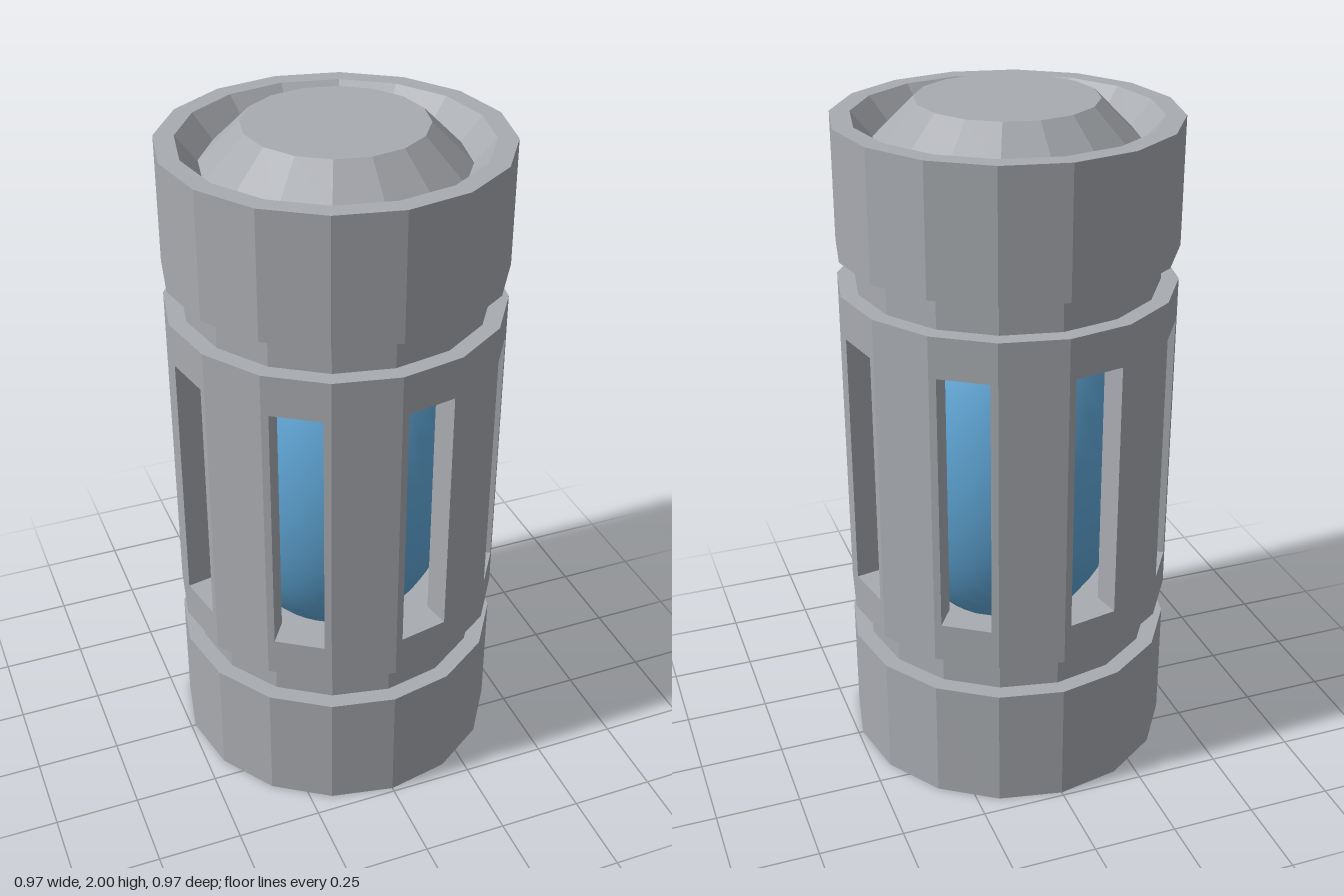
import * as THREE from 'three';

const SIDES = 16;
const RADIUS = 0.487;
const STEP = (Math.PI * 2) / SIDES;

// faceted body of revolution, sixteen flat sides
function facetedLathe(profile) {
  const points = profile.map(([r, y]) => new THREE.Vector2(r, y));
  const geo = new THREE.LatheGeometry(points, SIDES).toNonIndexed();
  geo.computeVertexNormals();
  return geo;
}

function rectangle(path, halfWidth, y0, y1) {
  path.moveTo(-halfWidth, y0);
  path.lineTo(halfWidth, y0);
  path.lineTo(halfWidth, y1);
  path.lineTo(-halfWidth, y1);
  path.closePath();
  return path;
}

// one wall panel of the casing, mitred to its neighbours, optionally with a slot
function wallPanel(hasSlot) {
  const apothem = RADIUS * Math.cos(STEP / 2);
  const half = RADIUS * Math.sin(STEP / 2);
  const thickness = 0.085;
  const shape = rectangle(new THREE.Shape(), half, 0.475, 1.485);
  if (hasSlot) shape.holes.push(rectangle(new THREE.Path(), 0.074, 0.592, 1.365));
  const geo = new THREE.ExtrudeGeometry(shape, { depth: thickness, bevelEnabled: false });
  geo.translate(0, 0, apothem - thickness);
  const pos = geo.attributes.position;
  for (let i = 0; i < pos.count; i++) {
    const x = pos.getX(i);
    if (Math.abs(x) > 0.08) pos.setX(i, (x * pos.getZ(i)) / apothem);
  }
  geo.computeVertexNormals();
  return geo;
}

export function createModel() {
  const model = new THREE.Group();
  const metal = new THREE.MeshStandardMaterial({ color: 0xa8abb0 });
  metal.name = 'grey metal';
  const glow = new THREE.MeshStandardMaterial({ color: 0x62aadb });
  glow.name = 'blue core';

  const add = (name, geo, material, parent = model) => {
    const mesh = new THREE.Mesh(geo, material);
    mesh.name = name;
    parent.add(mesh);
    return mesh;
  };

  // base collar with recessed underside and neck groove
  add('baseCollar', facetedLathe([
    [0, 0.07], [0.37, 0.07], [0.43, 0], [RADIUS, 0], [RADIUS, 0.37],
    [0.437, 0.37], [0.437, 0.475], [0, 0.475],
  ]), metal);

  // top collar with neck groove, sloped rim and raised cap
  add('topCollar', facetedLathe([
    [0, 1.485], [0.437, 1.485], [0.437, 1.585], [RADIUS, 1.585], [RADIUS, 1.955],
    [0.43, 1.955], [0.37, 1.885], [0.255, 2], [0, 2],
  ]), metal);

  // casing: slotted and plain panels alternate
  const casing = new THREE.Group();
  casing.name = 'casing';
  model.add(casing);
  const slotted = wallPanel(true);
  const plain = wallPanel(false);
  for (let i = 0; i < SIDES; i++) {
    const hasSlot = i % 2 === 0;
    const panel = add(hasSlot ? 'slottedPanel' : 'plainPanel', hasSlot ? slotted : plain, metal, casing);
    panel.rotation.y = (i + 0.5) * STEP;
  }

  // smooth elongated core seen through the slots
  const core = new THREE.SphereGeometry(1, 40, 28);
  core.scale(0.39, 0.62, 0.39);
  core.translate(0, 0.98, 0);
  add('core', core, glow);

  return model;
}
